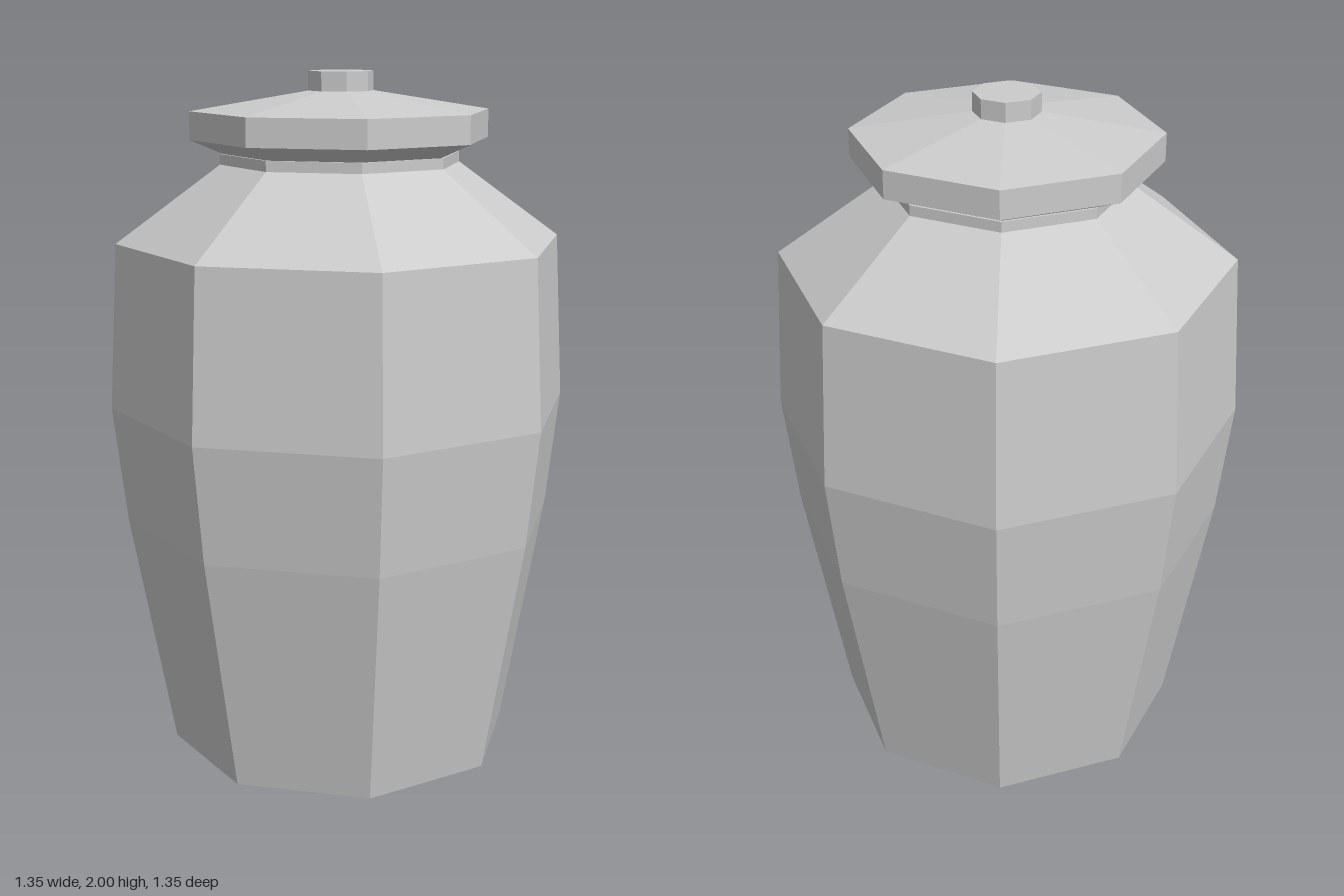
import * as THREE from 'three';

const SIDES = 8;

// Faceted solid of revolution; profile runs bottom to top as [radius, height]
function turned(name, profile, material) {
  const points = profile.map(([r, y]) => new THREE.Vector2(r, y));
  const mesh = new THREE.Mesh(new THREE.LatheGeometry(points, SIDES), material);
  mesh.name = name;
  return mesh;
}

export function createModel() {
  const group = new THREE.Group();
  group.name = 'liddedJar';
  const material = new THREE.MeshStandardMaterial({ color: 0xcccccc, flatShading: true });

  // Jar body with flat base, swelling belly, sloped shoulder and short neck
  group.add(turned('body', [
    [0, 0], [0.51, 0], [0.637, 0.7], [0.676, 1.04], [0.65, 1.52],
    [0.348, 1.74], [0.348, 1.77], [0, 1.77],
  ], material));

  // Overhanging lid with bevelled underside and shallow conical top
  group.add(turned('lid', [
    [0, 1.77], [0.34, 1.77], [0.433, 1.81], [0.433, 1.89], [0.094, 1.945], [0, 1.945],
  ], material));

  // Small knob
  group.add(turned('knob', [
    [0, 1.94], [0.094, 1.94], [0.094, 2], [0, 2],
  ], material));

  return group;
}
